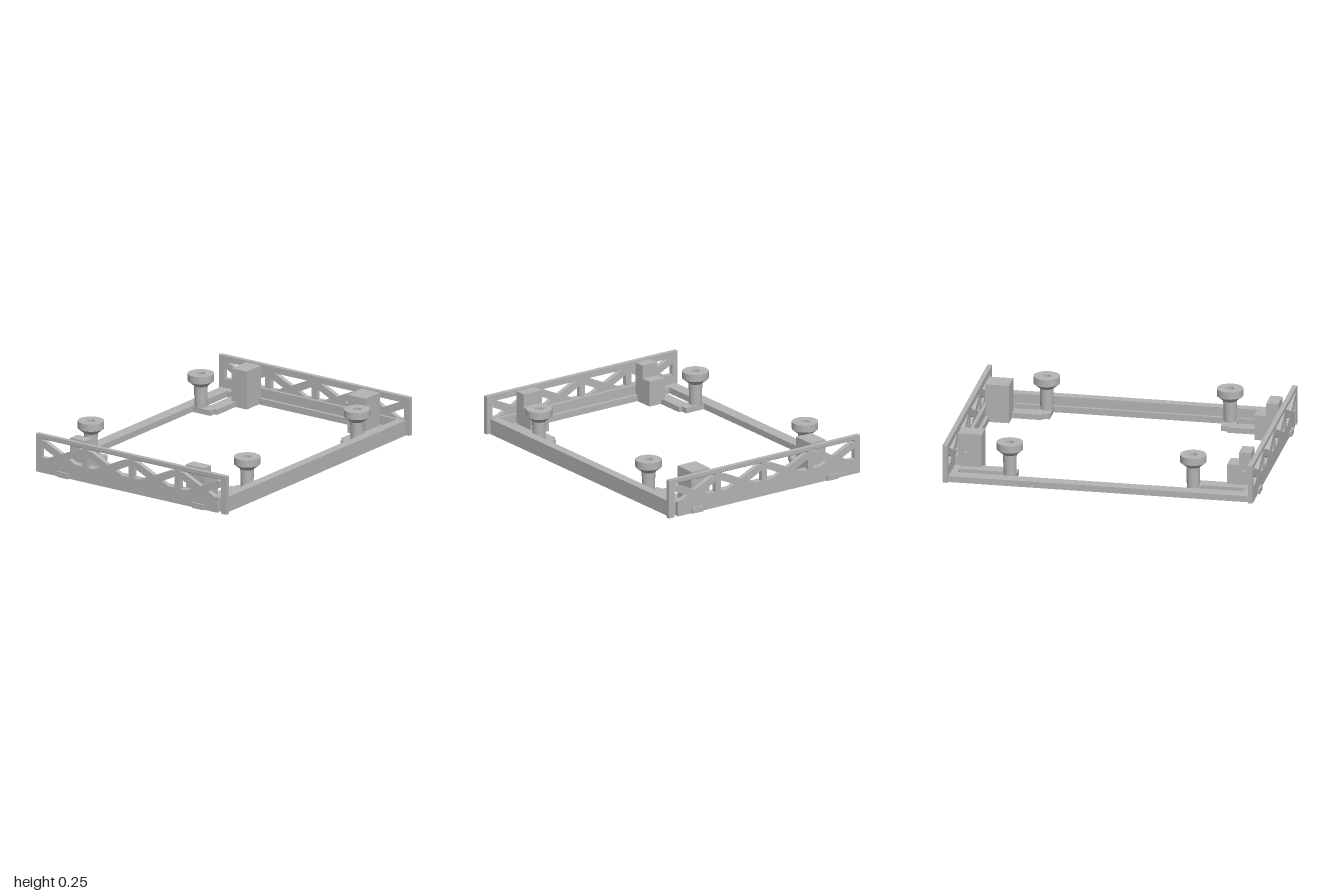
import * as THREE from 'three';

const grey = new THREE.MeshStandardMaterial({ color: 0xb4b4b4 });
grey.name = 'grey plastic';

function add(parent, name, geometry) {
  const mesh = new THREE.Mesh(geometry, grey);
  mesh.name = name;
  parent.add(mesh);
  return mesh;
}

// Box given by its limits on each axis
function box(parent, name, x0, x1, y0, y1, z0, z1) {
  const g = new THREE.BoxGeometry(Math.abs(x1 - x0), y1 - y0, Math.abs(z1 - z0));
  return add(parent, name, g.translate((x0 + x1) / 2, (y0 + y1) / 2, (z0 + z1) / 2));
}

const polygon = (Type, points) => new Type(points.map(([x, y]) => new THREE.Vector2(x, y)));
const extrude = (shape, depth) =>
  new THREE.ExtrudeGeometry(shape, { depth, bevelEnabled: false, curveSegments: 8 });

const T = 0.03;                     // panel thickness
const SLOT = [0.667, 0.695];        // cable slot limits in x

// Truss panel facing +z, with the cable slot on the given side
function trussPanel(side) {
  const group = new THREE.Group();
  const [a, b] = side > 0 ? SLOT : [-SLOT[1], -SLOT[0]];
  const shape = new THREE.Shape();
  shape.moveTo(-0.737, 0);
  shape.lineTo(a, 0);
  shape.lineTo(a, 0.081);
  shape.absarc((a + b) / 2, 0.081, 0.014, Math.PI, 0, true);
  shape.lineTo(b, 0);
  shape.lineTo(0.737, 0);
  shape.lineTo(0.737, 0.25);
  shape.lineTo(-0.737, 0.25);
  shape.closePath();

  const bays = [-0.537, -0.179, 0.179, 0.537];
  for (const c of bays) {
    // Upper triangle with a slot along its top, then the two side openings
    shape.holes.push(polygon(THREE.Path, [
      [c - 0.158, 0.225], [c - 0.158, 0.21], [c - 0.128, 0.21], [c, 0.15],
      [c + 0.128, 0.21], [c + 0.158, 0.21], [c + 0.158, 0.225],
    ]));
    for (const s of [-1, 1]) {
      shape.holes.push(polygon(THREE.Path, [
        [c + s * 0.158, 0.172], [c + s * 0.06, 0.126],
        [c + s * 0.11, 0.101], [c + s * 0.158, 0.101],
      ]));
    }
  }
  add(group, 'trussPlate', extrude(shape, T));

  // Sloped underside at the top of each bay
  const wedge = polygon(THREE.Shape, [[0, 0.225], [0, 0.21], [-T, 0.225]]);
  for (const c of bays) {
    add(group, 'slopedLip', extrude(wedge, 0.316).rotateY(Math.PI / 2).translate(c - 0.158, 0, 0));
  }
  for (const s of [-1, 1]) box(group, 'outerTab', s * 0.48, s * 0.565, 0, 0.035, T, T + 0.013);
  return group;
}

// Hollow foot with a flared head
function footGeometry() {
  const profile = [
    [0.025, 0.04], [0.025, 0.252], [0.083, 0.252], [0.083, 0.205], [0.043, 0.172], [0.04, 0.02],
  ];
  // Doubling each segment's ends keeps the rims sharp
  const outline = profile.slice().reverse().map(([x, y]) => new THREE.Vector2(x, y));
  outline.push(new THREE.Vector2(0, 0.04));
  const g = new THREE.LatheGeometry(outline, 40).toNonIndexed();
  g.computeVertexNormals();
  return g;
}

export function createModel() {
  const model = new THREE.Group();
  model.name = 'trussFrame';

  // End panels
  const front = trussPanel(1);
  front.name = 'frontPanel';
  front.position.z = 0.957;
  const back = trussPanel(-1);
  back.name = 'backPanel';
  back.rotation.y = Math.PI;
  back.position.z = -0.957;
  model.add(front, back);

  // Left rail: channel open at the bottom, with a low inner ledge
  const rail = new THREE.Shape();
  rail.moveTo(0.655, 0);
  rail.lineTo(SLOT[0], 0);
  rail.lineTo(SLOT[0], 0.081);
  rail.absarc(0.681, 0.081, 0.014, Math.PI, 0, true);
  rail.lineTo(SLOT[1], 0);
  rail.lineTo(0.715, 0);
  rail.lineTo(0.715, 0.1);
  rail.lineTo(0.655, 0.1);
  rail.closePath();
  add(model, 'leftRail', extrude(rail, 1.9).translate(0, 0, -0.95));
  box(model, 'leftRailLedge', 0.635, 0.656, 0, 0.04, -0.95, 0.95);

  // Right rail: flat bar
  box(model, 'rightRail', -0.72, -0.64, 0, 0.04, -0.955, 0.955);

  for (const z of [-1, 1]) {
    const end = new THREE.Group();
    end.name = z > 0 ? 'frontEnd' : 'backEnd';
    model.add(end);

    // Cross beam: tall wall and low ledge
    box(end, 'crossWall', -0.51, 0.656, 0, 0.1, z * 0.932, z * 0.953);
    box(end, 'crossLedge', -0.645, 0.64, 0, 0.04, z * 0.91, z * 0.953);

    for (const x of [-1, 1]) {
      // Stepped bracket arm and foot
      box(end, 'bracketArm', x * 0.48, x * 0.565, 0, 0.035, z * 0.587, z * 0.915);
      box(end, 'footPad', x * 0.503, x * 0.65, 0, 0.035, z * 0.545, z * 0.63);
      add(end, 'foot', footGeometry()).position.set(x * 0.604, 0, z * 0.584);

      // Corner block, stepped at the front
      const [x0, x1] = x > 0 ? [0.385, 0.525] : [-0.51, -0.393];
      if (z > 0) {
        box(end, 'cornerBlock', x0, x1, 0, 0.25, 0.857, 0.934);
        box(end, 'cornerBlockStep', x0, x1, 0, 0.165, 0.782, 0.858);
      } else {
        box(end, 'cornerBlock', x0, x1, 0, 0.25, -0.934, -0.782);
      }
    }

    // Small peg on the right-hand block
    const peg = new THREE.CylinderGeometry(0.015, 0.015, 0.04, 16).rotateZ(Math.PI / 2);
    add(end, 'peg', peg).position.set(-0.515, 0.12, z * 0.885);
  }
  return model;
}
